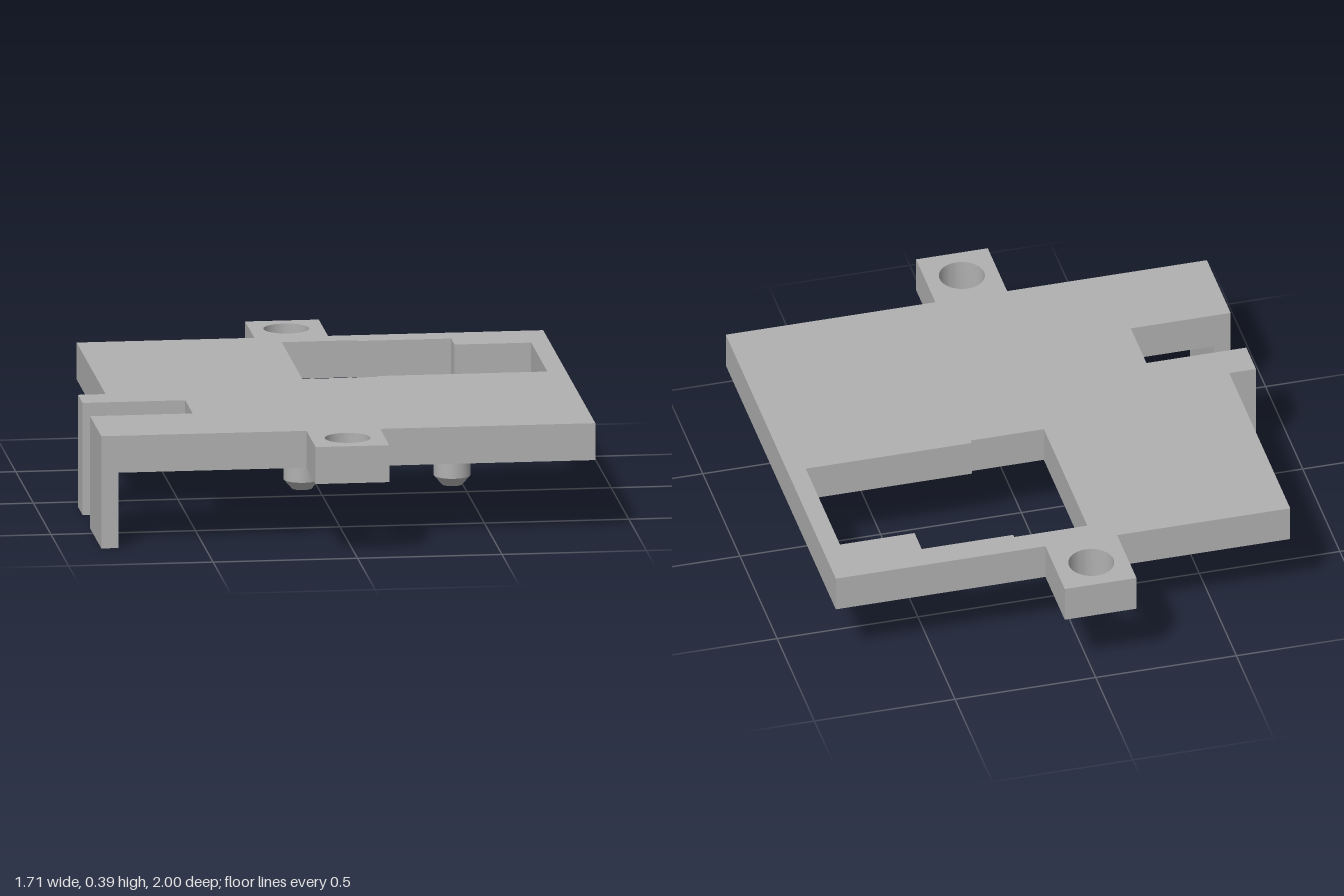
import * as THREE from 'three';
import { toCreasedNormals } from 'three/addons/utils/BufferGeometryUtils.js';

const PLATE_BOTTOM = 0.265;
const PLATE_TOP = 0.395;

// Plan points are [x, z]; shapes are drawn with -z up, then laid flat.
const toPoints = (plan) => plan.map(([x, z]) => new THREE.Vector2(x, -z));

export function createModel() {
  const model = new THREE.Group();
  const grey = new THREE.MeshStandardMaterial({ color: 0xb0b0b0 });
  grey.name = 'plain grey';

  const add = (name, geometry, x = 0, y = 0, z = 0) => {
    const mesh = new THREE.Mesh(geometry, grey);
    mesh.name = name;
    mesh.position.set(x, y, z);
    model.add(mesh);
  };

  // Plate outline with two screw tabs and a notch in the right edge
  const outline = new THREE.Shape(toPoints([
    [-0.855, 0.74], [-0.145, 0.74], [-0.145, 1], [0.11, 1], [0.11, 0.74],
    [0.855, 0.74], [0.855, -0.74], [0.11, -0.74], [0.11, -1], [-0.145, -1],
    [-0.145, -0.74], [-0.76, -0.74], [-0.76, 0.08], [-0.855, 0.08],
    [-0.855, 0.21], [-0.5, 0.21], [-0.5, 0.42], [-0.855, 0.42],
  ]));

  // Stepped window
  outline.holes.push(new THREE.Path(toPoints([
    [-0.06, -0.66], [0.2, -0.66], [0.2, -0.647], [0.525, -0.647],
    [0.525, -0.55], [0.79, -0.55], [0.79, -0.09], [0.2, -0.09],
    [0.2, -0.075], [-0.06, -0.075],
  ])));

  // Screw holes
  for (const z of [-0.872, 0.868]) {
    outline.holes.push(new THREE.Path().absarc(-0.018, -z, 0.079, 0, Math.PI * 2, true));
  }

  const plate = new THREE.ExtrudeGeometry(outline, {
    depth: PLATE_TOP - PLATE_BOTTOM, bevelEnabled: false, curveSegments: 24,
  });
  plate.rotateX(-Math.PI / 2);
  add('plate', toCreasedNormals(plate, 0.6), 0, PLATE_BOTTOM, 0);

  // Legs under the right edge
  const leg = (name, z0, z1) => add(name, new THREE.BoxGeometry(0.06, PLATE_BOTTOM, z1 - z0),
    -0.825, PLATE_BOTTOM / 2, (z0 + z1) / 2);
  leg('wideLeg', 0.42, 0.74);
  leg('narrowLeg', 0.08, 0.21);

  // Locating pins with chamfered tips
  const profile = [[0, 0.1], [0.035, 0.1], [0.063, 0.132], [0.063, PLATE_BOTTOM]]
    .map(([r, y]) => new THREE.Vector2(r, y));
  const pin = toCreasedNormals(new THREE.LatheGeometry(profile, 32), 0.5);
  [[0.41, 0.32], [-0.11, 0.32], [-0.5, -0.165]].forEach(([x, z], i) => {
    add(`pin${i + 1}`, pin, x, 0, z);
  });

  return model;
}
